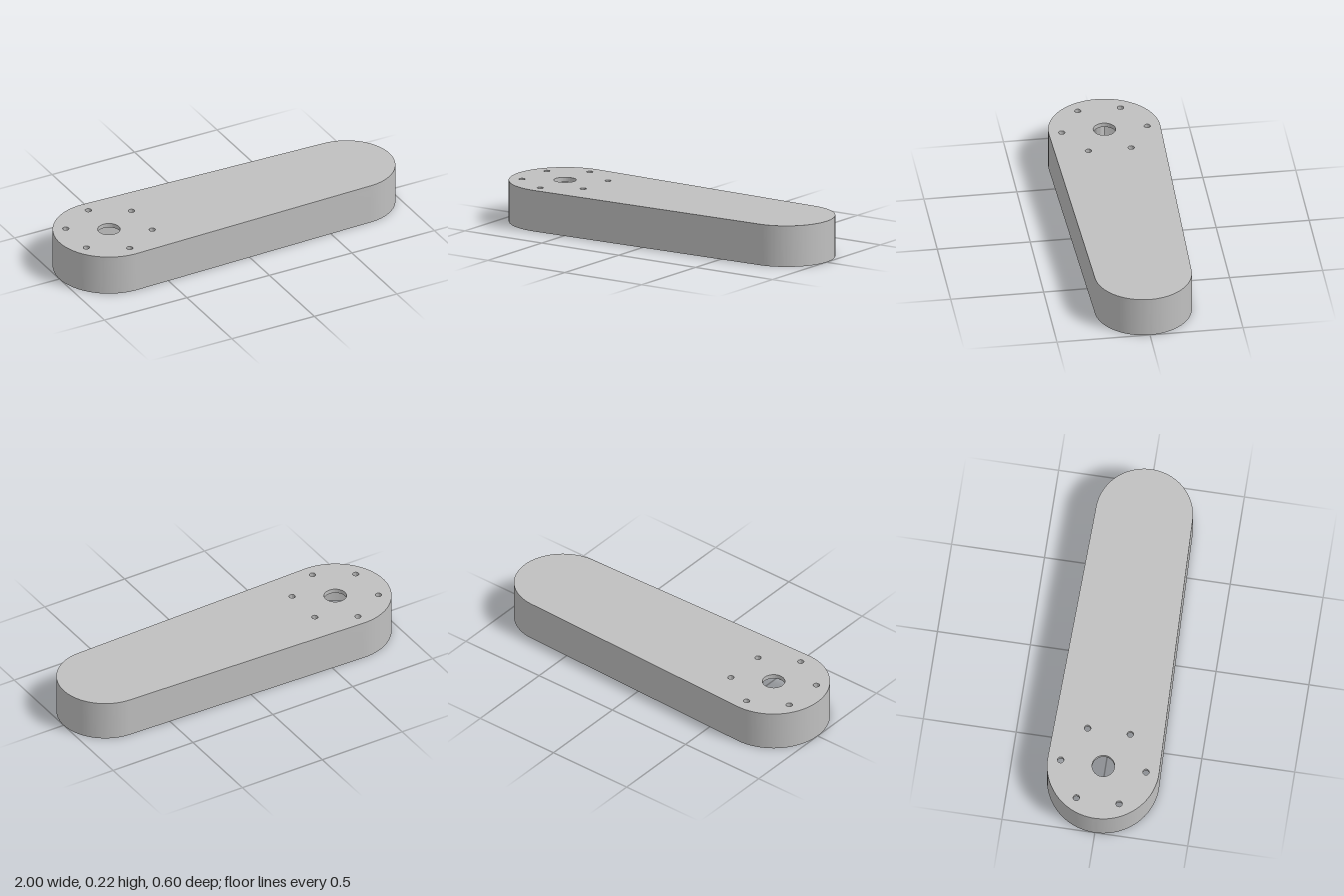
import * as THREE from 'three';
import { toCreasedNormals } from 'three/addons/utils/BufferGeometryUtils.js';

const HEIGHT = 0.224, CEILING = 0.2, WALL = 0.02;
const BIG = { x: -0.7, r: 0.3 }, SMALL = { x: 0.74, r: 0.26 };

// Tapered outline: two round ends joined by tangent lines, shrunk by inset
function outline(PathType, inset) {
  const a = Math.acos((BIG.r - SMALL.r) / (SMALL.x - BIG.x));
  const p = new PathType();
  p.absarc(BIG.x, 0, BIG.r - inset, a, Math.PI * 2 - a, false);
  p.absarc(SMALL.x, 0, SMALL.r - inset, -a, a, false);
  p.closePath();
  return p;
}

function circle(PathType, x, z, r) {
  return new PathType().absarc(x, z, r, 0, Math.PI * 2, false);
}

// Extrude a plan shape upward between two heights
function slab(shape, y0, y1, material, name, curveSegments = 48) {
  const g = new THREE.ExtrudeGeometry(shape, { depth: y1 - y0, bevelEnabled: false, curveSegments });
  g.rotateX(-Math.PI / 2).translate(0, y0, 0);
  const mesh = new THREE.Mesh(toCreasedNormals(g, 0.5), material);
  mesh.name = name;
  return mesh;
}

// Screw post with a blind bore and a slot opening towards local +x
function screwPost(material) {
  const R = 0.036, BORE = 0.015, SLOT0 = 0.155, SLOT1 = 0.178;
  const post = new THREE.Group();
  post.name = 'screwPost';

  const ring = circle(THREE.Shape, 0, 0, R);
  ring.holes.push(circle(THREE.Path, 0, 0, BORE));
  post.add(slab(ring, 0, SLOT0, material, 'postTube', 16));

  const open = 0.9;
  const collar = new THREE.Shape();
  collar.absarc(0, 0, R, open, Math.PI * 2 - open, false);
  collar.absarc(0, 0, 0.02, Math.PI * 2 - open, open, true);
  collar.closePath();
  post.add(slab(collar, SLOT0, SLOT1, material, 'slotCollar', 16));

  post.add(slab(circle(THREE.Shape, 0, 0, R), SLOT1, CEILING, material, 'postRoot', 16));
  return post;
}

export function createModel() {
  const grey = new THREE.MeshStandardMaterial({ color: 0xbfbfbf });
  grey.name = 'plainGrey';
  const model = new THREE.Group();
  model.name = 'armCover';

  // Side wall, open underneath
  const rim = outline(THREE.Shape, 0);
  rim.holes.push(outline(THREE.Path, WALL));
  model.add(slab(rim, 0, CEILING, grey, 'sideWall'));

  // Top plate with shaft hole and ring of six bolt holes
  const plate = outline(THREE.Shape, 0);
  plate.holes.push(circle(THREE.Path, BIG.x, 0, 0.06));
  for (let i = 0; i < 6; i++) {
    const t = Math.PI / 6 + (i * Math.PI) / 3;
    plate.holes.push(circle(THREE.Path, BIG.x + 0.23 * Math.cos(t), 0.23 * Math.sin(t), 0.017));
  }
  model.add(slab(plate, CEILING, HEIGHT, grey, 'topPlate'));

  // Screw posts along the wall, slots facing inward
  const places = [[-0.95, 0, 0]];
  for (const side of [1, -1]) {
    places.push([0.01, side * 0.232, side * Math.PI / 2]);
    places.push([0.48, side * 0.22, side * Math.PI / 2]);
  }
  for (const [x, z, turn] of places) {
    const post = screwPost(grey);
    post.position.set(x, 0, z);
    post.rotation.y = turn;
    model.add(post);
  }
  return model;
}
